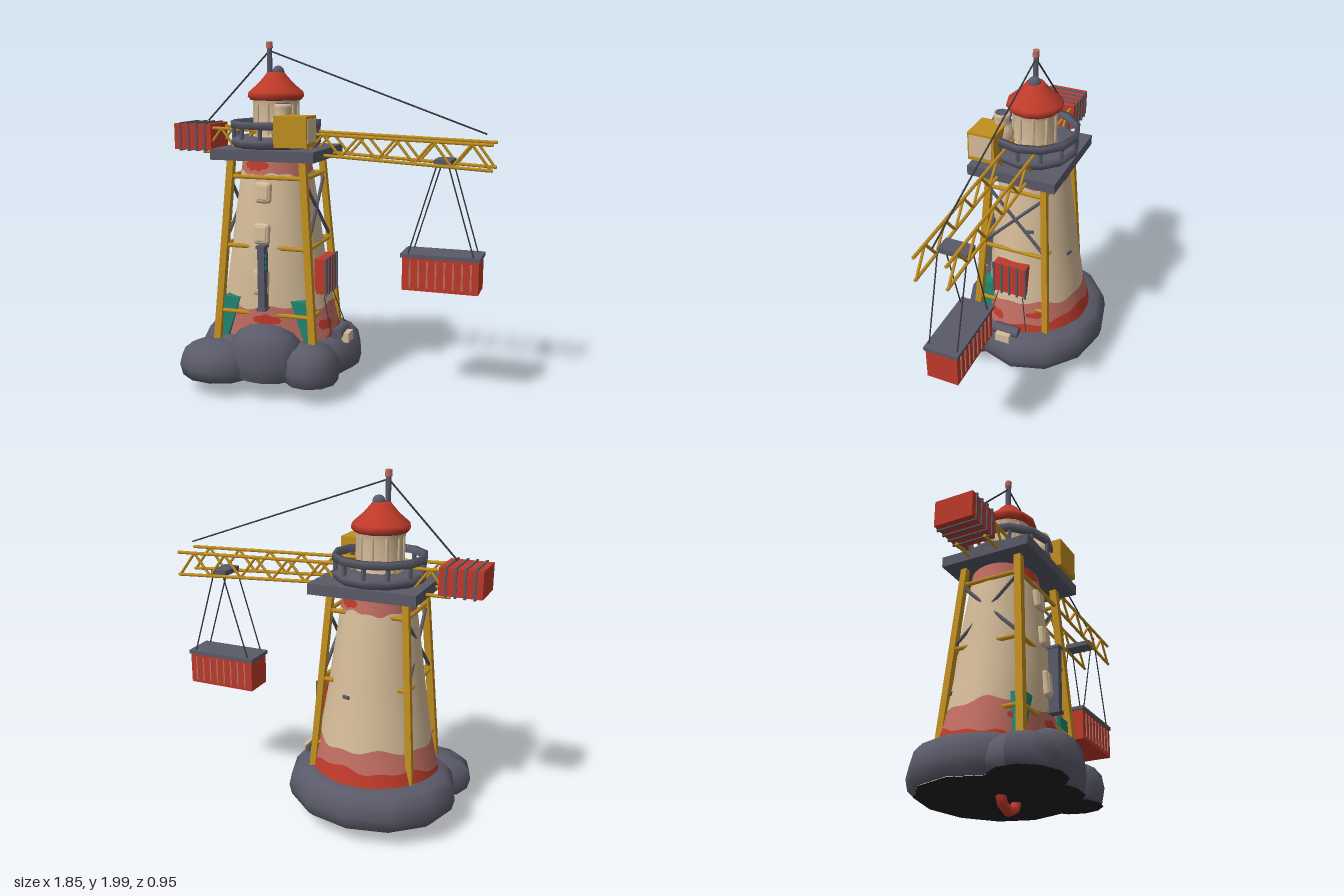
import * as THREE from 'three';
import { mergeVertices } from 'three/addons/utils/BufferGeometryUtils.js';
import { RoundedBoxGeometry } from 'three/addons/geometries/RoundedBoxGeometry.js';

const mat = (name, color) => {
  const m = new THREE.MeshStandardMaterial({ color });
  m.name = name;
  return m;
};

export function createModel() {
  const root = new THREE.Group();
  root.name = 'lighthouseCrane';
  const slate = mat('slate', 0x5a5a69), red = mat('red', 0xbe3a2a), faded = mat('fadedRed', 0xbf6c61);
  const cream = mat('cream', 0xd4bb98), yellow = mat('yellow', 0xc28f1f), teal = mat('teal', 0x1f8670);
  const dark = mat('cable', 0x3a3a3e), black = mat('underside', 0x222224);
  const CX = -0.33; // tower axis

  const add = (name, geo, m, x = 0, y = 0, z = 0, parent = root) => {
    const o = new THREE.Mesh(geo, m);
    o.name = name;
    o.position.set(x, y, z);
    parent.add(o);
    return o;
  };
  // box given by its limits
  const box = (name, m, x0, x1, y0, y1, z0, z1) =>
    add(name, new THREE.BoxGeometry(x1 - x0, y1 - y0, z1 - z0), m, (x0 + x1) / 2, (y0 + y1) / 2, (z0 + z1) / 2);
  // round or square bar between two points
  const bar = (name, m, a, b, r, sides = 6) => {
    const p = new THREE.Vector3(...a), q = new THREE.Vector3(...b), d = q.clone().sub(p);
    const geo = sides === 4 ? new THREE.BoxGeometry(r * 2, d.length(), r * 2)
      : new THREE.CylinderGeometry(r, r, d.length(), sides);
    const o = add(name, geo, m, ...p.clone().add(q).multiplyScalar(0.5).toArray());
    o.quaternion.setFromUnitVectors(new THREE.Vector3(0, 1, 0), d.normalize());
    return o;
  };
  const lathe = (name, m, pts, sides, x = CX, z = 0) =>
    add(name, new THREE.LatheGeometry(pts.map(p => new THREE.Vector2(...p)), sides), m, x, 0, z);

  // Tower skin: angle 0 is the front. Profile rows are height, radius, depth of the flatter front
  const profile = [[0.25, 0.395, 0.26], [0.33, 0.37, 0.255], [0.5, 0.328, 0.25],
    [0.75, 0.284, 0.243], [1, 0.25, 0.215], [1.36, 0.197, 0.165]];
  const sample = (y, k) => {
    let i = 0;
    while (i < profile.length - 2 && y > profile[i + 1][0]) i++;
    const a = profile[i], b = profile[i + 1];
    return a[k] + (b[k] - a[k]) * (y - a[0]) / (b[0] - a[0]);
  };
  const onTower = (t, y, lift = 0) => {
    const c = Math.cos(t);
    return [CX + (sample(y, 1) + lift) * Math.sin(t), y, (sample(y, c > 0 ? 2 : 1) + lift) * c];
  };
  const skin = (name, m, lo, hi, t0 = 0, t1 = Math.PI * 2, lift = 0, n = 64, rows = 6) => {
    const pos = [], idx = [];
    for (let j = 0; j <= rows; j++) for (let i = 0; i <= n; i++) {
      const t = t0 + (t1 - t0) * i / n;
      pos.push(...onTower(t, lo(t) + (hi(t) - lo(t)) * j / rows, lift));
      if (i < n && j < rows) {
        const a = j * (n + 1) + i, b = a + n + 1;
        idx.push(a, a + 1, b + 1, a, b + 1, b);
      }
    }
    let g = new THREE.BufferGeometry();
    g.setAttribute('position', new THREE.Float32BufferAttribute(pos, 3));
    g.setIndex(idx);
    g = mergeVertices(g);
    g.computeVertexNormals();
    return add(name, g, m);
  };
  const edge0 = t => 0.355 - 0.055 * Math.cos(t) + 0.012 * Math.sin(5 * t) + 0.008 * Math.sin(11 * t);
  const edge1 = t => 0.51 + 0.012 * Math.sin(4 * t) + 0.01 * Math.sin(9 * t + 1);
  const edge2 = t => 1.265 + 0.008 * Math.sin(5 * t) + 0.006 * Math.sin(12 * t);
  skin('towerRedFoot', red, () => 0.25, edge0);
  skin('towerFadedBand', faded, edge0, edge1);
  skin('towerWall', cream, edge1, edge2);
  skin('towerTopBand', faded, edge2, () => 1.36);
  // worn paint patches: angle, height, half angle, half height
  [[0.08, 0.44, 0.25, 0.03], [-0.75, 0.43, 0.15, 0.025], [1.2, 0.4, 0.2, 0.03], [2.0, 0.44, 0.16, 0.02],
    [-0.3, 1.315, 0.4, 0.03], [2.6, 1.31, 0.3, 0.025]].forEach(([t, y, w, h]) => {
    const half = a => h * Math.sqrt(Math.max(0.002, 1 - ((a - t) / w) ** 2)) * (1 + 0.2 * Math.sin(25 * a));
    skin('paintPatch', red, a => y - half(a), a => y + half(a), t - w, t + w, 0.004, 14, 2);
  });

  // Rock base: flattened ring and boulders, each with a dark flat underside
  const underside = (x, z, rx, rz, sides) => {
    const o = add('underside', new THREE.CircleGeometry(1, sides), black, x, 0.098, z);
    o.rotation.x = Math.PI / 2;
    o.scale.set(rx, rz, 1);
  };
  lathe('rockBase', slate, [[0.45, 0.1], [0.485, 0.13], [0.5, 0.19], [0.485, 0.26], [0.44, 0.31], [0.35, 0.33], [0, 0.33]],
    12, CX, -0.06).scale.z = 0.85;
  underside(CX, -0.06, 0.45, 0.383, 12);
  [[-0.6, 0.165, 0.27, 0.235, 0.14, 0.2], [-0.31, 0.215, 0.25, 0.23, 0.205, 0.165], [-0.04, 0.18, 0.24, 0.165, 0.15, 0.17]]
    .forEach(([x, y, z, rx, ry, rz]) => {
      const g = new THREE.SphereGeometry(1, 11, 8);
      // square the shape off a little, then cut it flat below
      const p = g.attributes.position;
      for (let i = 0; i < p.count; i++) {
        const v = p.getY(i);
        p.setY(i, Math.max(Math.sign(v) * Math.abs(v) ** 0.8 * ry, 0.1 - y));
      }
      g.scale(rx, 1, rz);
      g.computeVertexNormals();
      add('boulder', g, slate, x, y, z);
      underside(x, z, rx * 0.93, rz * 0.93, 11);
    });
  add('ringUnderBase', new THREE.TorusGeometry(0.09, 0.027, 6, 8), red, -0.315, 0.125, 0.015);

  // Windows up the front
  [[1.165, 0.12], [0.935, 0.12], [0.66, 0.15]].forEach(([y, h]) => {
    const w = new THREE.Group();
    w.name = 'window';
    w.position.set(-0.335, y, sample(y, 2));
    w.rotation.x = -0.1;
    root.add(w);
    add('windowFrame', new RoundedBoxGeometry(0.095, h, 0.045, 2, 0.02), cream, 0, 0, 0, w);
    add('windowPane', new RoundedBoxGeometry(0.065, h - 0.035, 0.02, 2, 0.008), cream, 0, 0, 0.016, w);
  });
  [[2.85, 0.8], [1.9, 1.0], [-2.2, 0.6]].forEach(([t, y]) => {
    add('wallVent', new THREE.BoxGeometry(0.04, 0.018, 0.015), slate, ...onTower(t, y, 0.002)).rotation.y = t;
  });

  // Signal post with small lamps
  box('signalPost', slate, -0.332, -0.292, 0.52, 0.87, 0.248, 0.305);
  [0.515, 0.875].forEach(y => box('signalCap', slate, -0.338, -0.286, y - 0.008, y + 0.008, 0.243, 0.312));
  [0.82, 0.785, 0.75].forEach(y => {
    add('signalLamp', new THREE.CylinderGeometry(0.012, 0.012, 0.008, 8), teal, -0.29, y, 0.28).rotation.z = Math.PI / 2;
  });

  // Platform, balcony and railing
  box('platform', slate, -0.62, -0.01, 1.35, 1.41, -0.25, 0.275);
  lathe('balconyDeck', slate, [[0, 1.41], [0.24, 1.41], [0.26, 1.43], [0.26, 1.455], [0.24, 1.47], [0, 1.47]], 12);
  lathe('railing', slate, [[0.235, 1.52], [0.262, 1.52], [0.262, 1.56], [0.235, 1.56], [0.235, 1.52]], 12);
  for (let i = 0; i < 12; i++) {
    const t = i * Math.PI / 6, x = CX + 0.245 * Math.sin(t), z = 0.245 * Math.cos(t);
    bar('railingPost', slate, [x, 1.46, z], [x, 1.53, z], 0.012);
  }

  // Lantern room, roof and mast
  lathe('lanternRoom', cream, [[0.14, 1.46], [0.125, 1.5], [0.122, 1.64], [0.135, 1.67], [0.135, 1.7]], 16);
  for (let i = 0; i < 10; i++) {
    const t = i * Math.PI / 5, x = CX + 0.123 * Math.sin(t), z = 0.123 * Math.cos(t);
    bar('lanternRib', cream, [x, 1.47, z], [x, 1.67, z], 0.01);
  }
  lathe('roof', red, [[0, 1.675], [0.145, 1.675], [0.163, 1.695], [0.158, 1.72], [0.1, 1.77], [0.065, 1.81], [0.05, 1.83], [0, 1.835]], 12);
  add('roofKnob', new THREE.SphereGeometry(0.038, 8, 6), slate, -0.315, 1.83, 0);
  bar('mast', slate, [-0.362, 1.78, 0.012], [-0.362, 1.97, 0.012], 0.016, 8);
  add('mastCap', new THREE.CylinderGeometry(0.02, 0.02, 0.036, 8), faded, -0.362, 1.982, 0.012);
  bar('stayCable', dark, [-0.362, 1.95, 0.012], [-0.755, 1.55, 0.012], 0.005);
  bar('stayCable', dark, [-0.362, 1.95, 0.012], [0.875, 1.51, 0.012], 0.005);

  // Jib: two side trusses
  const topY = x => 1.49 - 0.033 * x;
  const botY = x => (x < 0 ? 1.375 : 1.375 - 0.054 * x);
  [-0.08, 0.092].forEach(z => {
    [topY, botY].forEach(f => {
      bar('jibRail', yellow, [-0.75, f(-0.75), z], [0, f(0), z], 0.01);
      bar('jibRail', yellow, [0, f(0), z], [0.92, f(0.92), z], 0.01);
    });
    for (let i = 0; i < 16; i++) {
      const a = 0.91 - i * 0.103, b = a - 0.103;
      const [f, g] = i % 2 ? [topY, botY] : [botY, topY];
      bar('jibLacing', yellow, [a, f(a), z], [b, g(b), z], 0.008);
    }
  });

  // Counterweight with ribs wrapped around it
  box('counterweight', red, -0.925, -0.69, 1.385, 1.535, -0.105, 0.12);
  for (let i = 0; i < 4; i++) {
    const x = -0.885 + i * 0.052;
    box('counterweightRib', slate, x - 0.006, x + 0.006, 1.378, 1.542, -0.112, 0.127);
  }

  // Trolley, hoist cables and hanging container
  box('trolley', slate, 0.605, 0.7, 1.342, 1.372, -0.075, 0.088);
  [[0.625, 0.475], [0.688, 0.838]].forEach(([a, b]) => [-0.068, 0.094].forEach(z =>
    bar('hoistCable', dark, [a, 1.345, z], [b, 0.845, z], 0.004)));
  box('containerLid', slate, 0.435, 0.875, 0.83, 0.852, -0.088, 0.108);
  box('hangingContainer', red, 0.445, 0.867, 0.645, 0.83, -0.08, 0.1);
  for (let i = 0; i < 8; i++) {
    const x = 0.49 + i * 0.048;
    [-0.082, 0.102].forEach(z => box('containerRib', faded, x - 0.005, x + 0.005, 0.665, 0.815, z - 0.004, z + 0.004));
  }

  // Operator cab and the lamp beside it
  box('cab', yellow, -0.235, -0.045, 1.43, 1.6, 0.125, 0.285);
  box('cabWindow', cream, -0.045, -0.041, 1.455, 1.585, 0.14, 0.275);
  lathe('lampBody', cream, [[0, 1.46], [0.06, 1.48], [0.075, 1.54], [0.055, 1.59], [0.04, 1.6], [0.05, 1.64], [0.045, 1.66], [0, 1.66]], 10, -0.228, 0.158);
  add('lampCap', new THREE.CylinderGeometry(0.038, 0.038, 0.006, 10), slate, -0.228, 1.66, 0.158);

  // Legs and frame; leg centre lines at a given height
  const at = (sx, sz, y) => [-0.32 + sx * (0.215 + 0.075 * (1.35 - y)), y, 0.012 + sz * (0.165 + 0.063 * (1.35 - y))];
  [-1, 1].forEach(s => {
    bar('frontLeg', yellow, at(s, 1, 0.26), at(s, 1, 1.35), 0.02, 4);
    bar('backLeg', yellow, at(s, -1, 0.26), at(s, -1, 1.35), 0.018, 4);
    [0.47, 0.855, 1.25].forEach(y => {
      bar('crossBar', yellow, at(-1, s, y), at(1, s, y), 0.013);
      bar('crossBar', yellow, at(s, -1, y), at(s, 1, y), 0.013);
    });
    [-1, 1].forEach(q => bar('diagonalBrace', slate, at(s, -q, 1.24), at(s, q, 0.87), 0.01));
    // flared panels beside the front legs
    const shape = new THREE.Shape();
    [[0.155, 0.555], [0.255, 0.555], [0.27, 0.32], [0.235, 0.32]].forEach(([u, v], i) =>
      shape[i ? 'lineTo' : 'moveTo'](s * u, v));
    add('tealPanel', new THREE.ExtrudeGeometry(shape, { depth: 0.09, bevelEnabled: false }), teal, -0.32, 0, 0.14);
  });

  // Ribbed container fixed to the wall
  box('wallContainer', red, -0.06, 0.005, 0.58, 0.785, -0.09, 0.115);
  for (let i = 0; i < 5; i++) {
    const z = -0.09 + i * 0.051;
    box('wallContainerRib', slate, 0, 0.012, 0.57, 0.79, z - 0.006, z + 0.006);
  }

  // Small winch on the rocks
  add('winchDrum', new THREE.CylinderGeometry(0.035, 0.035, 0.16, 8), slate, 0.06, 0.335, 0.005).rotation.x = Math.PI / 2;
  box('winchBlock', cream, 0.07, 0.125, 0.285, 0.34, -0.035, 0.055);
  [-1, 1].forEach(s => bar('winchLine', dark, [-0.01, 0.56, 0.012 + s * 0.08], [0.05, 0.35, 0.012 + s * 0.13], 0.003));
  return root;
}
